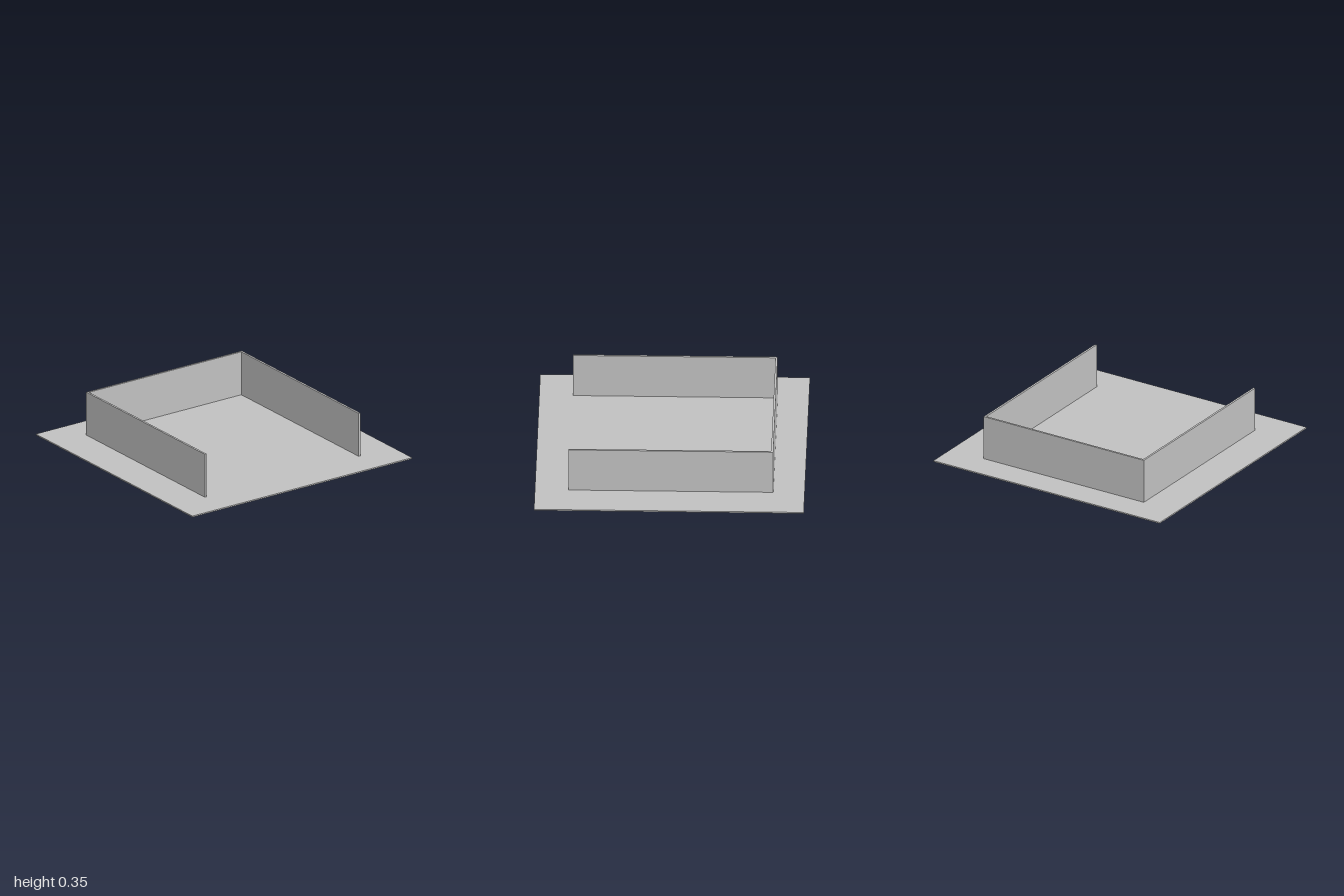
import * as THREE from 'three';

export function createModel() {
  const model = new THREE.Group();
  model.name = 'walledPlatform';
  const grey = new THREE.MeshStandardMaterial({ color: 0xc0c0c0 });
  grey.name = 'light grey';

  const baseTop = 0.01, wallTop = 0.353;
  const outerX = 0.708, innerX = 0.692;
  const backOuter = -0.767, backInner = -0.751, front = 0.75;

  // Thin square floor plate
  const base = new THREE.Mesh(new THREE.BoxGeometry(2, baseTop, 2), grey);
  base.name = 'basePlate';
  base.position.y = baseTop / 2;
  model.add(base);

  // Three joined walls, open at the front: plan outline (x, -z) extruded upwards
  const plan = new THREE.Shape([
    [-outerX, front], [-innerX, front], [-innerX, backInner], [innerX, backInner],
    [innerX, front], [outerX, front], [outerX, backOuter], [-outerX, backOuter],
  ].map(([x, z]) => new THREE.Vector2(x, -z)));
  const wallGeometry = new THREE.ExtrudeGeometry(plan, { depth: wallTop - baseTop, bevelEnabled: false });
  wallGeometry.rotateX(-Math.PI / 2);
  const walls = new THREE.Mesh(wallGeometry, grey);
  walls.name = 'surroundingWalls';
  walls.position.y = baseTop;
  model.add(walls);

  return model;
}
